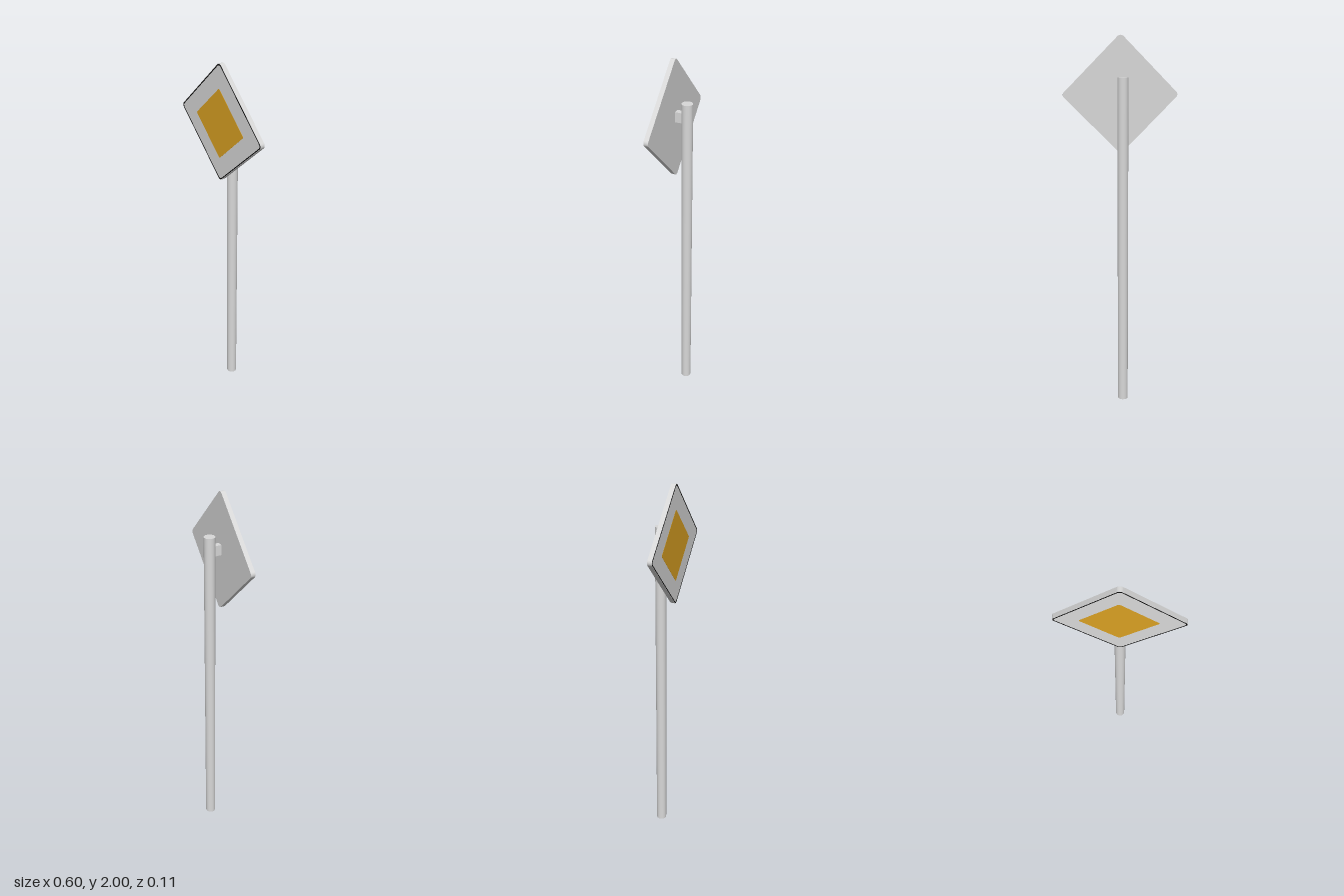
import * as THREE from 'three';

const PLATE_Y = 1.7;

// Rounded square outline standing on one corner; tip = centre-to-corner distance
function diamond(target, tip, radius) {
  const inner = tip - radius;
  for (let i = 0; i < 4; i++) {
    const a = i * Math.PI / 2;
    target.absarc(Math.cos(a) * inner, Math.sin(a) * inner, radius, a - Math.PI / 4, a + Math.PI / 4, false);
  }
  target.closePath();
  return target;
}

export function createModel() {
  const group = new THREE.Group();
  const metal = new THREE.MeshStandardMaterial({ color: 0xd8d8d8 });
  metal.name = 'light grey';
  const yellow = new THREE.MeshStandardMaterial({ color: 0xd9a022 });
  yellow.name = 'amber yellow';
  const black = new THREE.MeshStandardMaterial({ color: 0x0c0c0c });
  black.name = 'black';

  function add(name, geometry, material, x, y, z) {
    const mesh = new THREE.Mesh(geometry, material);
    mesh.name = name;
    mesh.position.set(x, y, z);
    group.add(mesh);
    return mesh;
  }
  const extrude = (shape, depth) =>
    new THREE.ExtrudeGeometry(shape, { depth, bevelEnabled: false, curveSegments: 8 });

  // Round post and the short bracket joining it to the plate
  add('post', new THREE.CylinderGeometry(0.028, 0.028, 1.79, 32), metal, -0.004, 0.895, -0.027);
  add('bracket', new THREE.BoxGeometry(0.03, 0.052, 0.05), metal, -0.004, 1.717, 0.01);

  // Sign plate with rounded corners
  add('signPlate', extrude(diamond(new THREE.Shape(), 0.299, 0.02), 0.0235), metal, -0.001, PLATE_Y, 0.03);

  // Thin black border near the rim
  const border = diamond(new THREE.Shape(), 0.297, 0.018);
  border.holes.push(diamond(new THREE.Path(), 0.291, 0.016));
  add('border', extrude(border, 0.001), black, -0.001, PLATE_Y, 0.0532);

  // Yellow centre panel
  add('centrePanel', extrude(diamond(new THREE.Shape(), 0.177, 0.008), 0.001), yellow, -0.004, PLATE_Y, 0.0532);

  return group;
}
